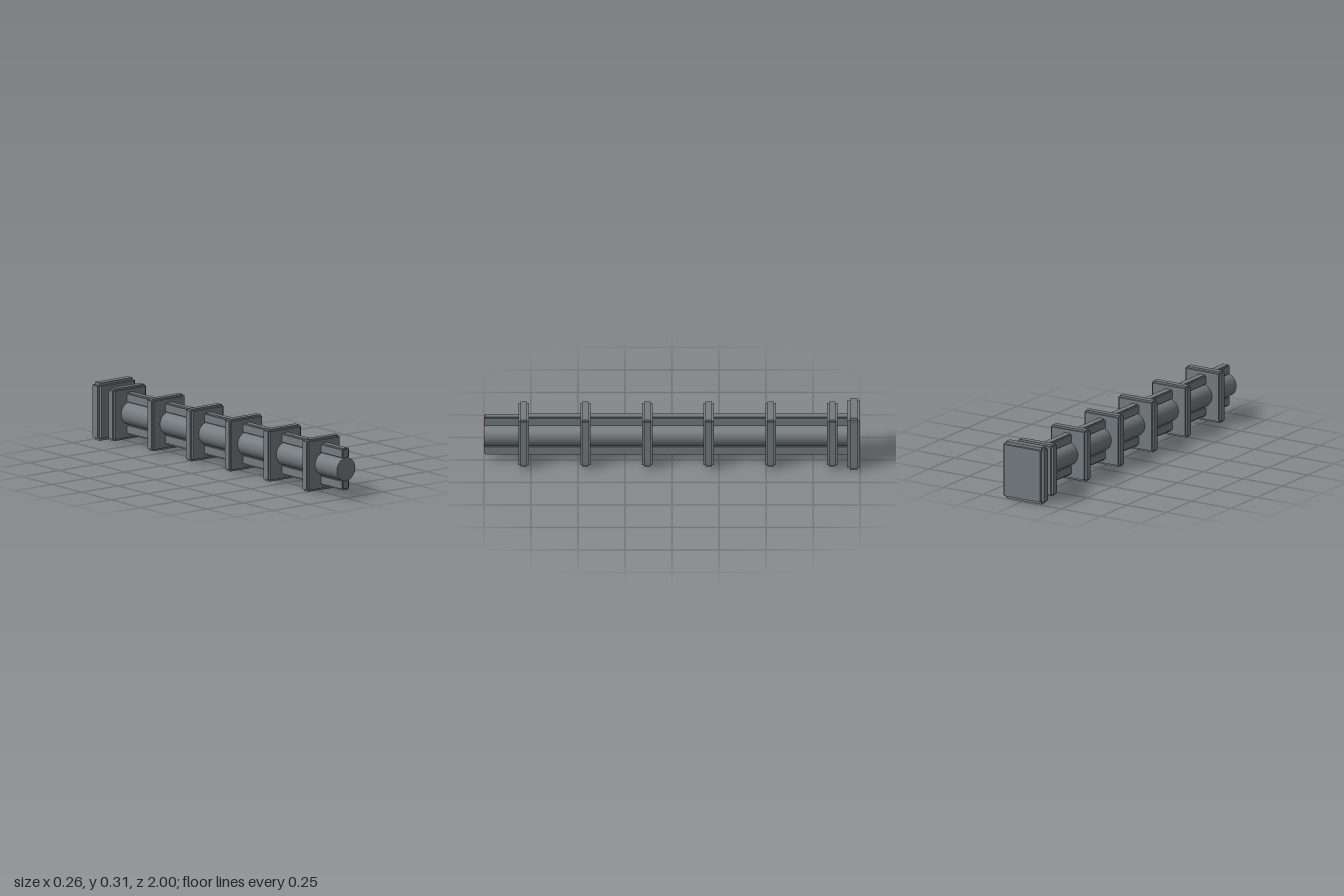
import * as THREE from 'three';

const material = new THREE.MeshStandardMaterial({ color: 0x747b7f });
const AXIS_Y = 0.157;

// Block with stepped edges: three crossing boxes, each full size along one axis
function steppedBlock(name, w, h, d, step) {
  const block = new THREE.Group();
  block.name = name;
  const s = 2 * step;
  const sizes = [[w, h - s, d - s], [w - s, h, d - s], [w - s, h - s, d]];
  for (const size of sizes) {
    const mesh = new THREE.Mesh(new THREE.BoxGeometry(...size), material);
    mesh.name = name + 'Core';
    block.add(mesh);
  }
  return block;
}

export function createModel() {
  const model = new THREE.Group();
  model.name = 'ribbedShaft';

  // Round shaft along z
  const shaft = new THREE.Mesh(new THREE.CylinderGeometry(0.063, 0.063, 1.95, 20), material);
  shaft.name = 'shaft';
  shaft.rotation.x = Math.PI / 2;
  shaft.position.set(0, AXIS_Y, 0.025);
  model.add(shaft);

  // Rails above and below the shaft
  for (const side of [1, -1]) {
    const rail = steppedBlock(side > 0 ? 'topRail' : 'bottomRail', 0.048, 0.056, 1.95, 0.007);
    rail.position.set(0, AXIS_Y + side * 0.0855, 0.025);
    model.add(rail);
  }

  // Evenly spaced collars
  for (let i = 0; i < 6; i++) {
    const collar = steppedBlock('collar', 0.226, 0.283, 0.055, 0.01);
    collar.position.set(0, AXIS_Y, 0.788 - i * 0.328);
    model.add(collar);
  }

  // Larger plate closing the back end
  const endPlate = steppedBlock('endPlate', 0.256, 0.314, 0.07, 0.015);
  endPlate.position.set(0, AXIS_Y, -0.965);
  model.add(endPlate);

  return model;
}
